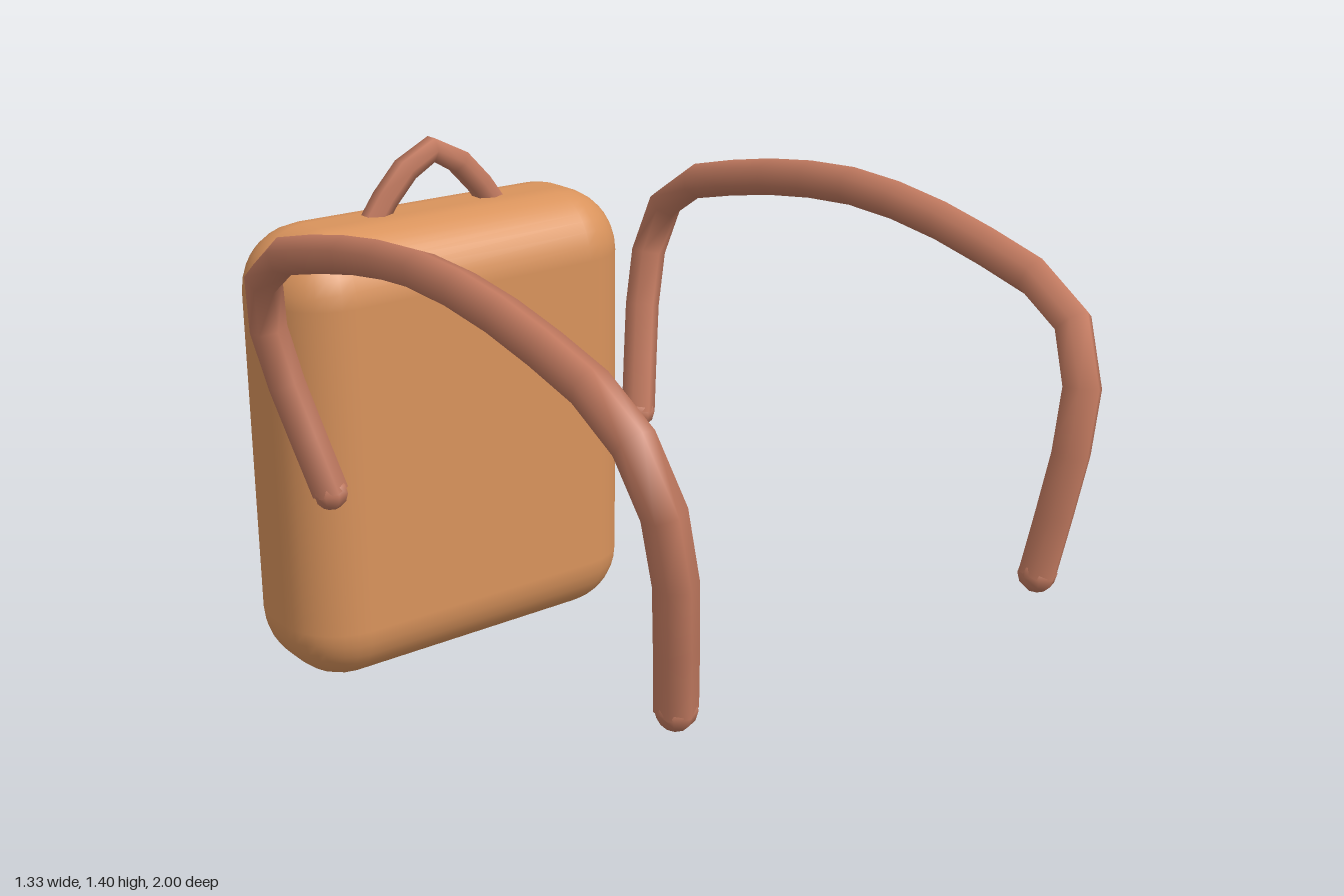
import * as THREE from 'three';
import { RoundedBoxGeometry } from 'three/addons/geometries/RoundedBoxGeometry.js';

const bodyMat = new THREE.MeshStandardMaterial({ color: 0xd9935c });
const strapMat = new THREE.MeshStandardMaterial({ color: 0xc27a60 });
const pocketMat = new THREE.MeshStandardMaterial({ color: 0xcfa264 });

function add(parent, name, geometry, material, x = 0, y = 0, z = 0) {
  const mesh = new THREE.Mesh(geometry, material);
  mesh.name = name;
  mesh.position.set(x, y, z);
  parent.add(mesh);
  return mesh;
}

// Low-sided tube through points, with rounded ends
function cord(name, points, radius, segments) {
  const group = new THREE.Group();
  group.name = name;
  const path = new THREE.CatmullRomCurve3(points.map(p => new THREE.Vector3(...p)));
  add(group, name + 'Tube', new THREE.TubeGeometry(path, segments, radius, 6), strapMat);
  for (const t of [0, 1]) {
    const end = path.getPoint(t);
    add(group, name + 'End', new THREE.SphereGeometry(radius * 0.97, 8, 6), strapMat, end.x, end.y, end.z);
  }
  return group;
}

// Shoulder strap on one side, side = 1 or -1
function shoulderStrap(name, side) {
  const points = [
    [0.53, 0.61, 0.915], [0.575, 0.97, 0.952], [0.61, 1.14, 0.915],
    [0.62, 1.235, 0.8], [0.62, 1.295, 0.6], [0.62, 1.334, 0.4],
    [0.62, 1.35, 0.19], [0.62, 1.334, -0.02], [0.62, 1.295, -0.24],
    [0.62, 1.24, -0.44], [0.61, 1.14, -0.55], [0.575, 0.97, -0.565],
    [0.49, 0.61, -0.485],
  ];
  return cord(name, points.map(([x, y, z]) => [x * side, y, z]), 0.046, 18);
}

// Eared badge outline, mirrored from one half
function badgeGeometry() {
  const half = [[0.05, 0.112], [0.09, 0.14], [0.13, 0.145], [0.153, 0.115],
    [0.14, 0.065], [0.107, 0.025], [0.112, -0.045], [0.093, -0.11], [0.05, -0.14]];
  const outline = [[0, -0.147], ...half.slice().reverse(), [0, 0.105],
    ...half.map(([x, y]) => [-x, y])].map(([x, y]) => new THREE.Vector2(x, y));
  const loop = new THREE.SplineCurve([...outline, outline[0]]);
  return new THREE.ExtrudeGeometry(new THREE.Shape(loop.getPoints(48)), {
    depth: 0.04, bevelThickness: 0.012, bevelSize: 0.011, bevelSegments: 2,
  });
}

export function createModel() {
  const model = new THREE.Group();
  model.name = 'backpack';

  // Bag and back pocket
  add(model, 'bag', new RoundedBoxGeometry(1.06, 1.22, 0.41, 4, 0.17), bodyMat, 0, 0.61, -0.735);
  add(model, 'pocket', new RoundedBoxGeometry(0.74, 0.41, 0.14, 3, 0.05), pocketMat, 0, 0.305, -0.93);

  // Badge above the pocket
  const badge = add(model, 'badge', badgeGeometry(), strapMat, 0, 0.807, -0.913);
  badge.rotation.y = Math.PI;

  // Carrying handle
  model.add(cord('handle', [[-0.2, 1.18, -0.735], [-0.1, 1.308, -0.735], [0, 1.367, -0.735],
    [0.1, 1.308, -0.735], [0.2, 1.18, -0.735]], 0.035, 6));

  // Shoulder straps
  model.add(shoulderStrap('leftStrap', 1), shoulderStrap('rightStrap', -1));
  return model;
}
